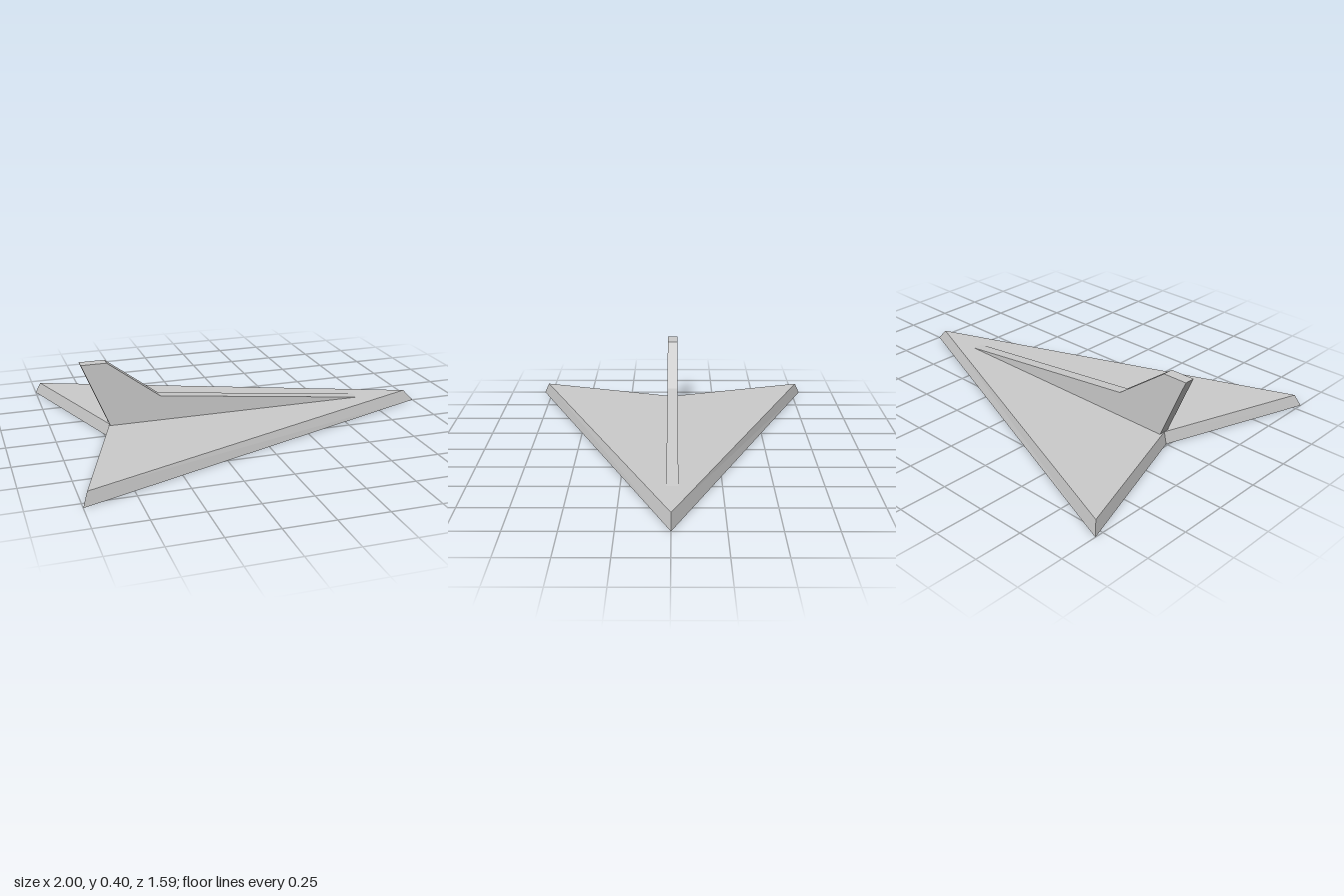
import * as THREE from 'three';

const material = new THREE.MeshStandardMaterial({ color: 0xcccccc, flatShading: true });

function extrude(points, depth) {
  const shape = new THREE.Shape(points.map(([x, y]) => new THREE.Vector2(x, y)));
  return new THREE.ExtrudeGeometry(shape, { depth, bevelEnabled: false });
}

function addPart(group, name, geometry) {
  const mesh = new THREE.Mesh(geometry, material);
  mesh.name = name;
  group.add(mesh);
}

// Swept arrowhead slab whose upper outline is drawn in, giving sloped edges
function wingGeometry(height) {
  const lower = [[1, 0], [-1, 0.797], [-0.74, 0], [-1, -0.797]];
  const upper = [[0.94, 0], [-0.975, 0.768], [-0.725, 0], [-0.975, -0.768]];
  const geometry = extrude(lower, height);
  const pos = geometry.attributes.position;
  for (let i = 0; i < pos.count; i++) {
    if (pos.getZ(i) < height / 2) continue;
    const corner = lower.findIndex(([x, y]) => Math.hypot(x - pos.getX(i), y - pos.getY(i)) < 0.001);
    pos.setXY(i, ...upper[corner]);
  }
  geometry.rotateX(-Math.PI / 2);
  geometry.computeVertexNormals();
  return geometry;
}

// Long spine that rises into a swept tail fin
function finGeometry() {
  const profile = [[-0.725, 0.064], [0.645, 0.064], [-0.46, 0.195], [-0.73, 0.398], [-0.86, 0.398]];
  return extrude(profile, 0.058).translate(0, 0, -0.034);
}

export function createModel() {
  const group = new THREE.Group();
  group.name = 'deltaGlider';
  addPart(group, 'deltaWing', wingGeometry(0.064));
  addPart(group, 'spineAndTailFin', finGeometry());
  return group;
}
